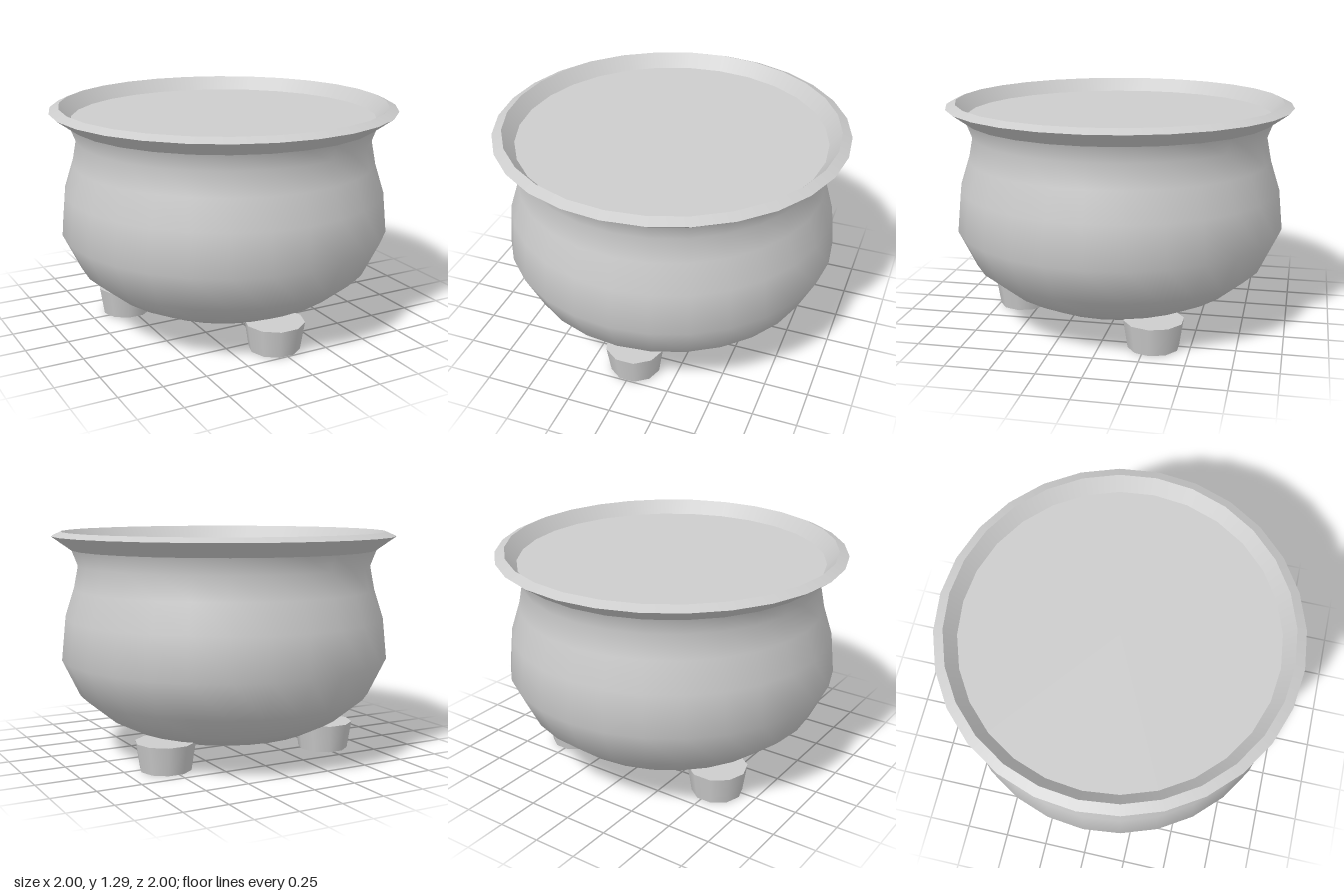
import * as THREE from 'three';

const SIDES = 28;

export function createModel() {
  const model = new THREE.Group();
  model.name = 'cauldron';
  const grey = new THREE.MeshStandardMaterial({ color: 0xcccccc });
  grey.name = 'light grey';

  const add = (name, geometry) => {
    const mesh = new THREE.Mesh(geometry, grey);
    mesh.name = name;
    model.add(mesh);
    return mesh;
  };
  // Outward-facing when the profile runs upwards
  const turned = (name, profile) =>
    add(name, new THREE.LatheGeometry(profile.map(([r, y]) => new THREE.Vector2(r, y)), SIDES));

  // Bellied pot with a narrow neck and a flat base
  turned('pot', [
    [0, 0.14], [0.535, 0.14], [0.69, 0.217], [0.855, 0.353], [0.957, 0.565],
    [0.933, 0.8], [0.88, 0.965], [0.854, 1.1], [0.888, 1.19],
  ]);

  // Flared rim, one lathe per face so that its edges stay sharp
  turned('rimUnderside', [[0.888, 1.19], [1, 1.27]]);
  turned('rimTop', [[1, 1.27], [0.945, 1.295]]);
  turned('rimInside', [[0.945, 1.295], [0.88, 1.217]]);

  // Flat surface of the contents
  const contents = add('contents', new THREE.CircleGeometry(0.88, SIDES));
  contents.rotation.x = -Math.PI / 2;
  contents.position.y = 1.217;

  // Three tapered feet, one in front and two behind
  const footShape = new THREE.CylinderGeometry(0.17, 0.145, 0.16, 10);
  footShape.rotateY(Math.PI / 2);
  ['frontFoot', 'backLeftFoot', 'backRightFoot'].forEach((name, i) => {
    const angle = (i * Math.PI * 2) / 3;
    add(name, footShape).position.set(0.6 * Math.sin(angle), 0.08, 0.6 * Math.cos(angle) + 0.005);
  });

  return model;
}
